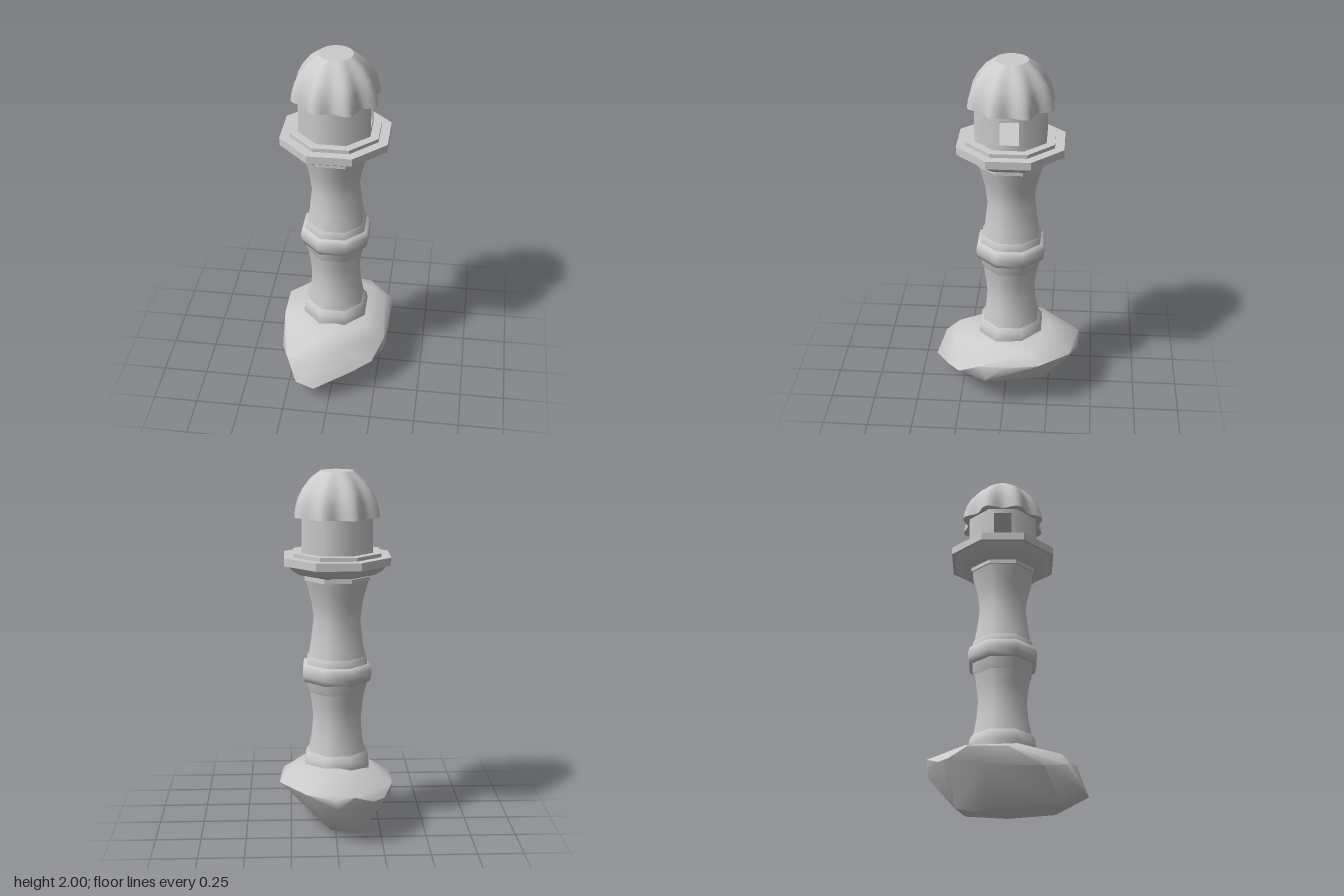
import * as THREE from 'three';
import { mergeVertices, toCreasedNormals } from 'three/addons/utils/BufferGeometryUtils.js';
import { ConvexGeometry } from 'three/addons/geometries/ConvexGeometry.js';

const stone = new THREE.MeshStandardMaterial({ color: 0xcccccc });
stone.name = 'stone grey';

const STEP = Math.PI / 4;
const CORNER = 1 / Math.cos(STEP / 2); // flat-side distance to corner radius

function add(parent, name, geometry) {
  const mesh = new THREE.Mesh(geometry, stone);
  mesh.name = name;
  parent.add(mesh);
  return mesh;
}

const points = (list) => list.map(([r, y]) => new THREE.Vector2(r, y));

// Eight-sided turned part; profile runs bottom to top as [flat-side distance, y]
function turned(parent, name, profile) {
  const pts = points(profile.map(([r, y]) => [r * CORNER, y]));
  return add(parent, name, new THREE.LatheGeometry(pts, 8, STEP / 2));
}

// Eight-sided disc with sharp edges
function slab(parent, name, r, y0, y1) {
  const geo = new THREE.CylinderGeometry(r * CORNER, r * CORNER, y1 - y0, 8, 1, false, STEP / 2);
  add(parent, name, toCreasedNormals(geo, 0.5)).position.y = (y0 + y1) / 2;
}

// Round part with eight ribs and hollows that fade out towards the top
function scalloped(parent, name, profile) {
  const geo = new THREE.LatheGeometry(points(profile), 64, STEP / 2);
  const p = geo.attributes.position;
  for (let i = 0; i < p.count; i++) {
    const hollow = 0.5 + 0.5 * Math.cos(8 * Math.atan2(p.getX(i), p.getZ(i)));
    const s = 1 - 0.17 * hollow * Math.sqrt(Math.max(0, (2 - p.getY(i)) / 0.24));
    p.setX(i, p.getX(i) * s);
    p.setZ(i, p.getZ(i) * s);
  }
  geo.deleteAttribute('uv');
  geo.deleteAttribute('normal');
  const merged = mergeVertices(geo, 1e-5);
  merged.computeVertexNormals();
  add(parent, name, merged);
}

// One lantern wall, facing +z before it is turned, with an optional window
function wallPanel(parent, name, angle, hasWindow) {
  const r = 0.19, half = r * Math.tan(STEP / 2), depth = 0.02;
  const rect = (path, w, y0, y1) =>
    path.moveTo(-w, y0).lineTo(w, y0).lineTo(w, y1).lineTo(-w, y1).closePath();
  const shape = new THREE.Shape();
  rect(shape, half, 1.56, 1.77);
  if (hasWindow) {
    const hole = new THREE.Path();
    rect(hole, 0.05, 1.6, 1.735);
    shape.holes.push(hole);
  }
  const geo = new THREE.ExtrudeGeometry(shape, { depth, bevelEnabled: false });
  geo.translate(0, 0, r - depth);
  // Round the shading of the outer face so the walls read as one drum
  const p = geo.attributes.position, n = geo.attributes.normal;
  for (let i = 0; i < p.count; i++) {
    if (n.getZ(i) < 0.9) continue;
    const len = Math.hypot(p.getX(i), p.getZ(i));
    n.setXYZ(i, p.getX(i) / len, 0, p.getZ(i) / len);
  }
  add(parent, name, geo).rotation.y = angle;
}

// Boulder: hull of its upper, middle and lower corners
function boulder(parent) {
  const corners = [
    [0.2, 0.385, -0.2], [0.27, 0.36, -0.15], [0, 0.39, -0.25], [-0.15, 0.36, -0.22], [-0.18, 0.36, 0.05],
    [0.17, 0.36, 0.12], [0, 0.37, 0.15], [-0.1, 0.33, 0.28], [0.05, 0.3, 0.29],
    [-0.09, 0.3, -0.42], [0.01, 0.28, -0.42], [0, 0.23, -0.42], [0.165, 0.3, -0.37], [0.31, 0.31, -0.2],
    [0.305, 0.28, 0], [0.29, 0.18, 0.1], [0.29, 0.28, 0.13], [0.23, 0.2, 0.255], [0.12, 0.17, 0.33],
    [-0.085, 0.1, 0.42], [-0.1, 0.26, 0.36], [-0.19, 0.11, 0.385], [-0.25, 0.22, 0.3], [-0.295, 0.2, 0.185],
    [-0.31, 0.3, 0], [-0.31, 0.3, -0.2], [-0.31, 0.2, -0.1], [-0.26, 0.25, -0.3], [-0.2, 0.25, -0.355],
    [-0.15, 0, -0.15], [-0.19, 0.03, 0.27], [0, 0.03, 0.25], [0.07, 0.03, 0], [0.03, 0.03, -0.22],
    [-0.12, 0.03, -0.27], [-0.2, 0.03, -0.05],
  ];
  const geo = new ConvexGeometry(corners.map((c) => new THREE.Vector3(...c)));
  add(parent, 'rock', toCreasedNormals(geo, 0.9));
}

export function createModel() {
  const model = new THREE.Group();
  model.name = 'lighthouse';
  boulder(model);

  const tower = new THREE.Group();
  tower.name = 'tower';
  tower.position.set(-0.01, 0, -0.027);
  model.add(tower);

  // Shaft in two waisted halves with a collar between them
  turned(tower, 'baseRing', [[0.172, 0.3], [0.177, 0.38], [0.173, 0.42], [0.152, 0.45]]);
  turned(tower, 'lowerShaft', [[0.155, 0.44], [0.138, 0.54], [0.131, 0.64], [0.138, 0.72], [0.15, 0.8]]);
  turned(tower, 'collarSupport', [[0.148, 0.79], [0.158, 0.82], [0.166, 0.865]]);
  turned(tower, 'collar', [[0.15, 0.855], [0.178, 0.857], [0.187, 0.89], [0.187, 0.92], [0.18, 0.95], [0.155, 0.955]]);
  turned(tower, 'upperRing', [[0.165, 0.945], [0.162, 0.98], [0.15, 1.0]]);
  turned(tower, 'upperShaft', [[0.154, 0.99], [0.139, 1.08], [0.126, 1.2], [0.138, 1.3], [0.168, 1.42]]);
  slab(tower, 'topRing', 0.176, 1.42, 1.442);

  // Gallery
  turned(tower, 'galleryUnderside', [[0.15, 1.438], [0.2, 1.452], [0.24, 1.477], [0.265, 1.508]]);
  slab(tower, 'galleryDeck', 0.285, 1.507, 1.55);
  slab(tower, 'galleryStep', 0.235, 1.545, 1.57);

  // Lantern room, with windows on the left and right
  const lantern = new THREE.Group();
  lantern.name = 'lanternRoom';
  tower.add(lantern);
  for (let i = 0; i < 8; i++) {
    const hasWindow = i % 4 === 2;
    wallPanel(lantern, hasWindow ? 'windowWall' : 'wall', i * STEP, hasWindow);
  }

  // Ribbed dome
  const dome = new THREE.Group();
  dome.name = 'dome';
  tower.add(dome);
  scalloped(dome, 'domeUnderside', [[0, 1.76], [0.244, 1.76]]);
  scalloped(dome, 'domeShell', [[0.244, 1.76], [0.237, 1.8], [0.222, 1.85], [0.195, 1.9], [0.146, 1.96], [0.09, 2]]);
  scalloped(dome, 'domeCap', [[0.09, 2], [0, 2]]);
  return model;
}
